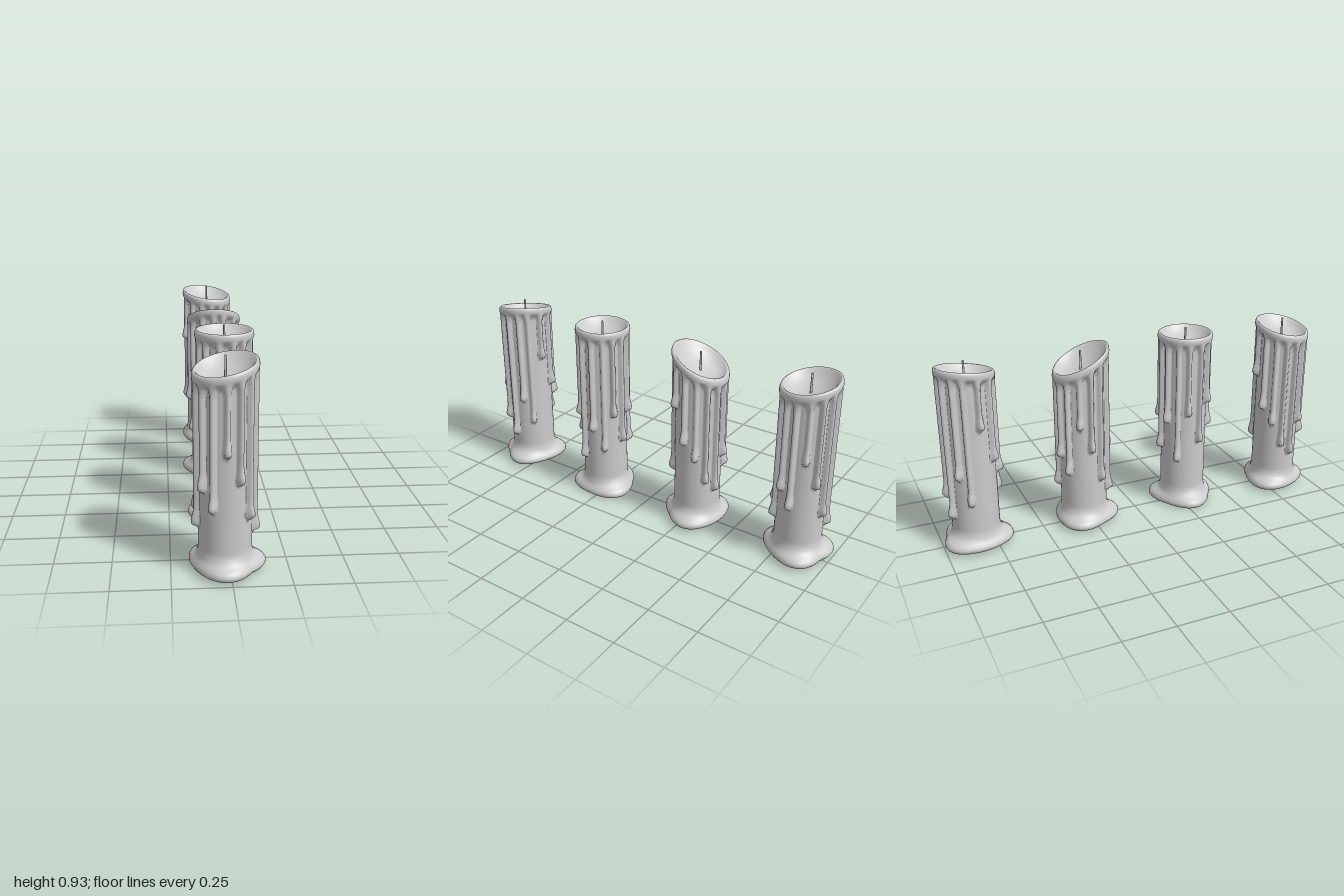
import * as THREE from 'three';

const RAD = Math.PI / 180;
const SEGS = 168, SHAFT_ROWS = 64;

// wax runs: [angle from the front in degrees, height of the lower end]
const RUNS = [[0, .53], [27, .41], [52, .25], [84, .17], [112, .38], [135, .25], [168, .62],
  [200, .45], [228, .37], [254, .25], [280, .2], [306, .37], [331, .29]];
const RUNS_FLAT = [[15, .3], [40, .42], [67, .2], [97, .37], [125, .26], [150, .45], [175, .3],
  [200, .45], [229, .25], [255, .5], [285, .35], [312, .55], [345, .4]];

// one entry per candle: position, lift, top height, top slope in x and z, turn, runs, foot lobes
const CANDLES = [
  { x: -.02, z: .82, lift: .01, top: .89, sx: .19, sz: -.13, turn: 0, runs: RUNS, lobes: [0, 97, 225] },
  { x: .015, z: .28, lift: 0, top: .912, sx: 0, sz: 0, turn: 0, runs: RUNS_FLAT, lobes: [24, 148, 270] },
  { x: 0, z: -.28, lift: .012, top: .86, sx: 0, sz: .47, turn: -115, runs: RUNS, lobes: [352, 100, 241] },
  { x: -.005, z: -.835, lift: .012, top: .89, sx: -.14, sz: -.14, turn: 116, runs: RUNS, lobes: [350, 119, 210] },
];

// profiles: [radius, height]; the foot radius is spread by the lobes, the rim follows the slanted top
const FOOT = [[0, 0], [.08, 0], [.133, 0], [.142, .004], [.148, .013], [.148, .023], [.142, .035],
  [.133, .045], [.124, .056], [.118, .07], [.114, .088]];
const RIM = [[.136, -.012], [.133, -.004], [.127, 0], [.122, -.003], [.114, -.014], [.098, -.03],
  [.075, -.045], [.05, -.053], [.025, -.057], [0, -.058]];
const CORE = .113;

const angleGap = (a, b) => Math.abs(((a - b) % 360 + 540) % 360 - 180);
const smooth = THREE.MathUtils.smoothstep;

// thickness of the wax skin and runs over the core
function waxDepth(c, deg, y, rimY) {
  const below = rimY - y;
  let depth = .024 * (1 - smooth(below, .03, .062));
  for (const [angle, end] of c.runs) {
    const d = angleGap(deg, angle + c.turn) * RAD * .125;
    const e = y - end;
    const bulb = Math.exp(-(((e - .026) / .034) ** 2));
    const w = .0145 + .005 * bulb + .012 * (1 - smooth(below, .035, .085));
    const h = .022 + .011 * bulb;
    const cap = Math.max(0, (.018 - e) / .018);
    const q = (d / w) ** 2 + cap ** 2;
    if (q < 1) depth = Math.max(depth, h * Math.pow(1 - q, .65));
  }
  return depth;
}

function candleGeometry(c) {
  const pos = [], index = [];
  const rows = FOOT.length + SHAFT_ROWS + RIM.length;
  const rimAt = (r, phi) => c.top + r * (c.sx * Math.sin(phi) + c.sz * Math.cos(phi));
  for (let i = 0; i < rows; i++) {
    for (let j = 0; j < SEGS; j++) {
      const deg = j * 360 / SEGS, phi = deg * RAD;
      let r, y;
      if (i < FOOT.length) {
        // spreading foot
        const [fr, fy] = FOOT[i];
        let lobe = 0;
        for (const l of c.lobes) lobe = Math.max(lobe, Math.exp(-((angleGap(deg, l) / 36) ** 2)));
        const spread = fr > CORE ? smooth(fr, CORE, .142) : fr / CORE;
        r = fr + spread * (.034 * lobe - .008);
        y = fy + c.lift;
      } else if (i < FOOT.length + SHAFT_ROWS) {
        // shaft with wax runs
        const t = (i - FOOT.length) / SHAFT_ROWS;
        const rimY = rimAt(.136, phi);
        y = THREE.MathUtils.lerp(.1 + c.lift, rimY - .012, t);
        r = CORE + waxDepth(c, deg, y, rimY);
      } else {
        // rounded rim and hollow top
        const [rr, ry] = RIM[i - FOOT.length - SHAFT_ROWS];
        r = rr;
        y = rimAt(rr, phi) + ry;
      }
      pos.push(r * Math.sin(phi), y, r * Math.cos(phi));
    }
  }
  for (let i = 0; i < rows - 1; i++) {
    for (let j = 0; j < SEGS; j++) {
      const k = (j + 1) % SEGS;
      const a = i * SEGS + j, b = i * SEGS + k, d = a + SEGS, e = b + SEGS;
      if (i > 0) index.push(a, b, e);
      if (i < rows - 2) index.push(a, e, d);
      else if (i === rows - 2) continue;
    }
  }
  const g = new THREE.BufferGeometry();
  g.setAttribute('position', new THREE.Float32BufferAttribute(pos, 3));
  g.setIndex(index);
  g.computeVertexNormals();
  return g;
}

export function createModel() {
  const model = new THREE.Group();
  model.name = 'candles';
  const material = new THREE.MeshStandardMaterial({ color: 0xcccccc });
  CANDLES.forEach((c, n) => {
    const candle = new THREE.Group();
    candle.name = `candle${n + 1}`;
    const wax = new THREE.Mesh(candleGeometry(c), material);
    wax.name = 'waxBody';
    // wick standing in the hollow
    const foot = c.top - .07, tip = Math.min(c.top + .035, .932);
    const wick = new THREE.Mesh(new THREE.CylinderGeometry(.0045, .0055, tip - foot, 12), material);
    wick.name = 'wick';
    wick.position.y = (foot + tip) / 2;
    candle.add(wax, wick);
    candle.position.set(c.x, 0, c.z);
    model.add(candle);
  });
  return model;
}
